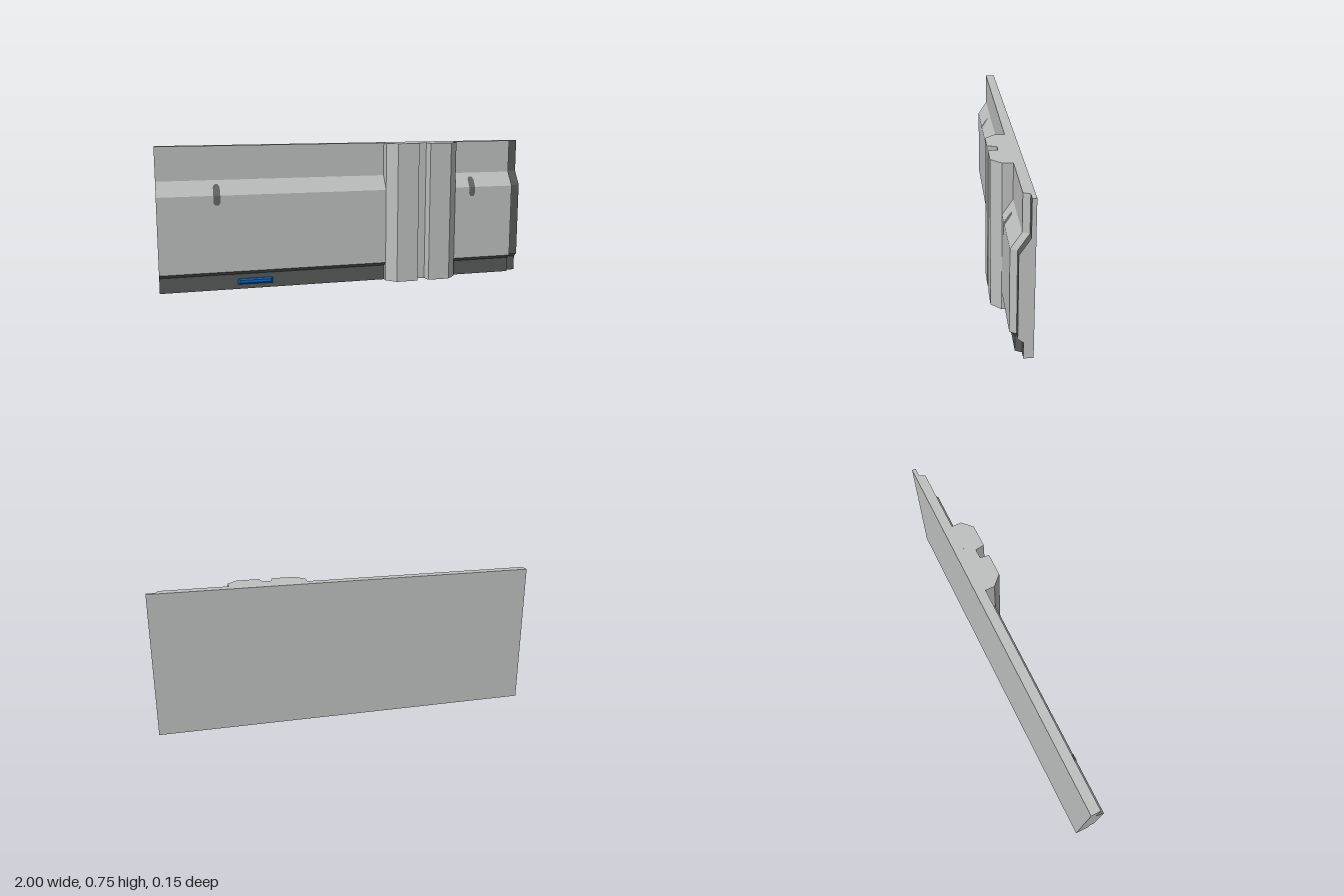
import * as THREE from 'three';

const concrete = new THREE.MeshStandardMaterial({ name: 'lightConcrete', color: 0xbfc1c0 });
const dark = new THREE.MeshStandardMaterial({ name: 'darkGrey', color: 0x595b5a });
const slotGrey = new THREE.MeshStandardMaterial({ name: 'slotGrey', color: 0x656766 });
const blue = new THREE.MeshStandardMaterial({ name: 'blue', color: 0x0a66c2 });

const BACK = -0.075;
// Front profile of the panel, bottom to top: [y, z]
const profile = [[0, 0], [0.08, 0], [0.1, 0.025], [0.5, 0.025], [0.575, -0.025], [0.75, -0.025]];
// Columns across the panel: [x, setback]; the right edge steps back behind a chamfer
const columns = [[-1, 0], [0.94, 0], [0.955, -0.03], [1, -0.03]];

// Flat-shaded mesh from quads with corners counter-clockwise
function quadMesh(quads, material, name) {
  const pos = quads.flatMap(([a, b, c, d]) => [a, b, c, a, c, d].flat());
  const geo = new THREE.BufferGeometry();
  geo.setAttribute('position', new THREE.Float32BufferAttribute(pos, 3));
  geo.computeVertexNormals();
  const mesh = new THREE.Mesh(geo, material);
  mesh.name = name;
  return mesh;
}

function makePanel() {
  const light = [], darkQuads = [];
  const front = (c, r) => [columns[c][0], profile[r][0], profile[r][1] + columns[c][1]];
  const back = (c, r) => [columns[c][0], profile[r][0], BACK];
  const lastC = columns.length - 1, lastR = profile.length - 1;
  // Front faces: the foot and the edge rebate are dark
  for (let c = 0; c < lastC; c++) {
    for (let r = 0; r < lastR; r++) {
      const list = r < 2 || c === lastC - 1 ? darkQuads : light;
      list.push([front(c, r), front(c + 1, r), front(c + 1, r + 1), front(c, r + 1)]);
    }
    // Top and underside
    light.push([front(c, lastR), front(c + 1, lastR), back(c + 1, lastR), back(c, lastR)]);
    light.push([back(c, 0), back(c + 1, 0), front(c + 1, 0), front(c, 0)]);
  }
  // Both ends
  for (let r = 0; r < lastR; r++) {
    light.push([back(0, r), front(0, r), front(0, r + 1), back(0, r + 1)]);
    light.push([front(lastC, r), back(lastC, r), back(lastC, r + 1), front(lastC, r + 1)]);
  }
  // Back
  light.push([back(lastC, 0), back(0, 0), back(0, lastR), back(lastC, lastR)]);
  const panel = new THREE.Group();
  panel.name = 'wallPanel';
  panel.add(quadMesh(light, concrete, 'panelBody'), quadMesh(darkQuads, dark, 'footAndEdgeRebate'));
  return panel;
}

// Upright pilaster with chamfered sides and a central groove
function makePilaster() {
  const half = [[0.2, -0.025], [0.2, 0.025], [0.15, 0.075], [0.032, 0.075], [0.024, 0.028]];
  const points = [
    ...half.map(([x, z]) => new THREE.Vector2(0.4 + x, -z)),
    ...half.slice().reverse().map(([x, z]) => new THREE.Vector2(0.4 - x, -z)),
  ];
  const geo = new THREE.ExtrudeGeometry(new THREE.Shape(points), { depth: 0.75, bevelEnabled: false });
  geo.rotateX(-Math.PI / 2);
  const mesh = new THREE.Mesh(geo, concrete);
  mesh.name = 'pilaster';
  return mesh;
}

// Lifting slot that follows the bend of the panel front
function makeSlot(x) {
  const rows = [[0.45, 0.009], [0.465, 0.0175], [0.5, 0.0175], [0.54, 0.0175], [0.555, 0.009]];
  const point = ([y, w], side) => [x + side * w, y, 0.027 - Math.max(0, y - 0.5) / 1.5];
  const quads = rows.slice(1).map((row, i) =>
    [point(rows[i], -1), point(rows[i], 1), point(row, 1), point(row, -1)]);
  return quadMesh(quads, slotGrey, 'liftingSlot');
}

// Blue marker with bevelled edges on the foot
function makeMarker() {
  const shape = new THREE.Shape();
  shape.moveTo(-0.083, -0.007).lineTo(0.083, -0.007).lineTo(0.083, 0.007).lineTo(-0.083, 0.007);
  const geo = new THREE.ExtrudeGeometry(shape, {
    depth: 0.004, bevelEnabled: true, bevelThickness: 0.006, bevelSize: 0.008, bevelSegments: 1,
  });
  const mesh = new THREE.Mesh(geo, blue);
  mesh.name = 'blueMarker';
  mesh.position.set(-0.51, 0.04, 0.002);
  return mesh;
}

export function createModel() {
  const model = new THREE.Group();
  model.name = 'concreteWallPanel';
  model.add(makePanel(), makePilaster(), makeMarker());
  for (const x of [-0.7, 0.7]) model.add(makeSlot(x));
  return model;
}
